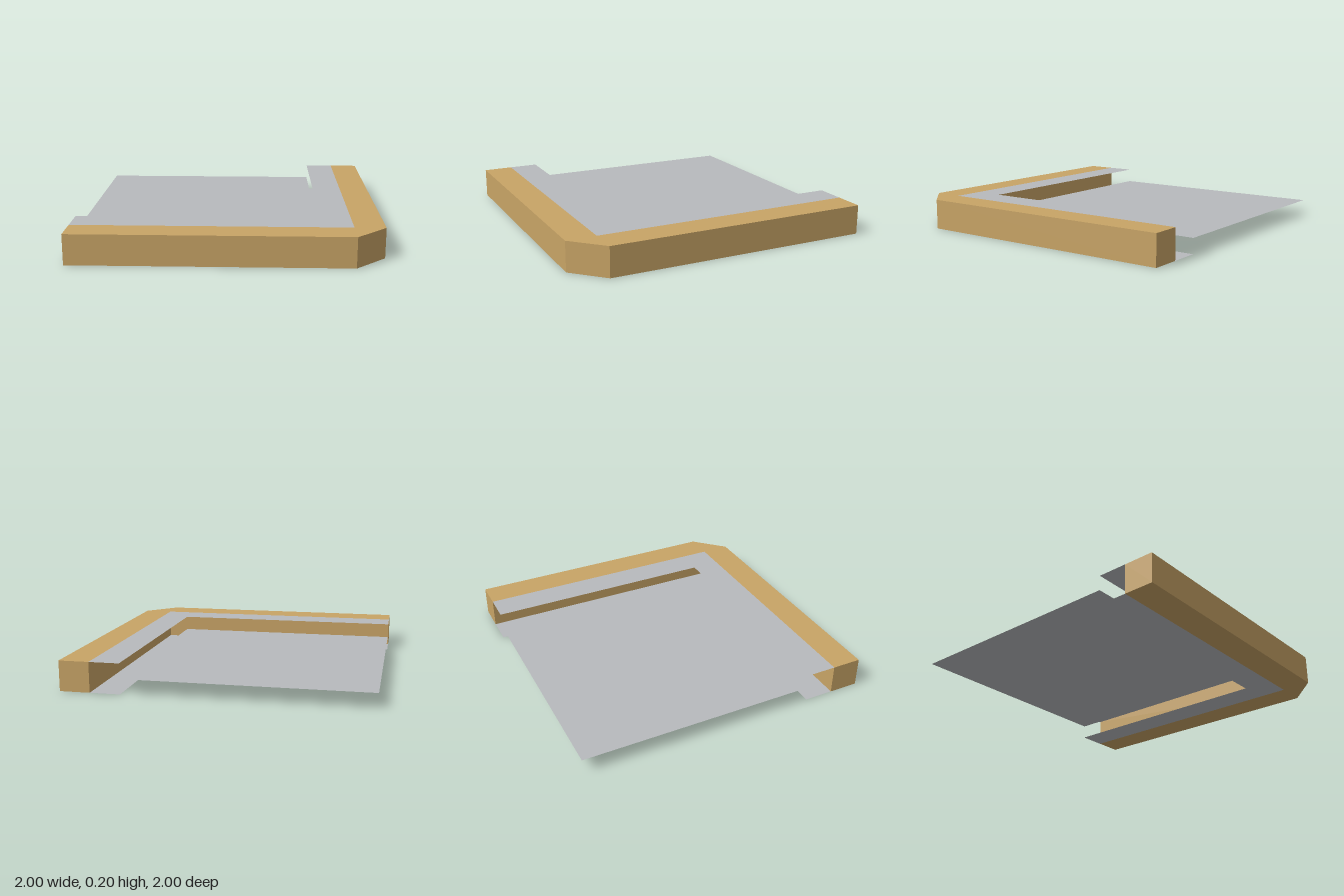
import * as THREE from 'three';

// Flat outline given as [x, z] corners
function outline(points) {
  return new THREE.Shape(points.map(([x, z]) => new THREE.Vector2(x, -z)));
}

export function createModel() {
  const model = new THREE.Group();
  model.name = 'cornerPanel';

  const wood = new THREE.MeshStandardMaterial({ color: 0xc8a466 });
  wood.name = 'wood';
  const sheet = new THREE.MeshStandardMaterial({ color: 0xb8babd, side: THREE.DoubleSide });
  sheet.name = 'greySheet';

  function add(name, geometry, material, y) {
    geometry.rotateX(-Math.PI / 2); // lay the outline flat, facing up
    const mesh = new THREE.Mesh(geometry, material);
    mesh.name = name;
    mesh.position.y = y;
    model.add(mesh);
  }

  // L-shaped rim with a chamfered outer corner
  const rim = outline([[-1, 1], [0.8, 1], [1, 0.8], [1, -1], [0.8, -1], [0.8, 0.8], [-1, 0.8]]);
  add('rim', new THREE.ExtrudeGeometry(rim, { depth: 0.2, bevelEnabled: false }), wood, 0);

  // Thin L-shaped lips along the inside of the rim, flush with its bottom and top
  const lip = outline([[-1, 0.8], [0.8, 0.8], [0.8, -1], [0.6, -1], [0.6, 0.6], [-1, 0.6]]);
  add('bottomLip', new THREE.ShapeGeometry(lip), sheet, 0);
  add('topLip', new THREE.ShapeGeometry(lip), sheet, 0.2);

  // Square panel at mid height
  const panel = outline([[-1, 0.6], [0.6, 0.6], [0.6, -1], [-1, -1]]);
  add('panel', new THREE.ShapeGeometry(panel), sheet, 0.1);

  return model;
}
